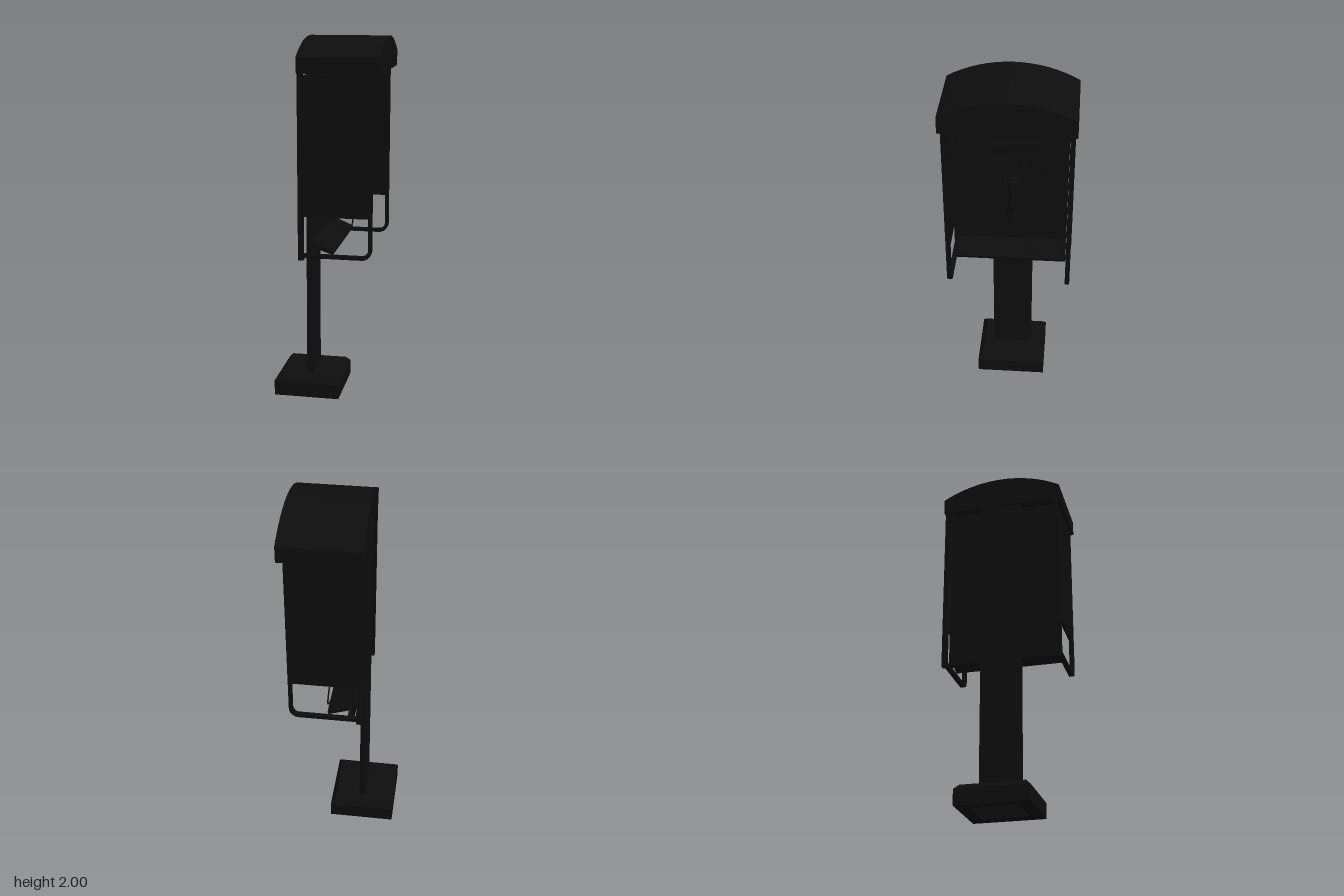
import * as THREE from 'three';

export function createModel() {
  const model = new THREE.Group();
  const mat = new THREE.MeshStandardMaterial({ color: 0x0d0d0d });

  const add = (name, geo, parent = model) => {
    const mesh = new THREE.Mesh(geo, mat);
    mesh.name = name;
    parent.add(mesh);
    return mesh;
  };
  // Box given by its lower and upper limits on each axis
  const box = (name, x0, x1, y0, y1, z0, z1, parent) => {
    const geo = new THREE.BoxGeometry(x1 - x0, y1 - y0, z1 - z0);
    geo.translate((x0 + x1) / 2, (y0 + y1) / 2, (z0 + z1) / 2);
    return add(name, geo, parent);
  };
  const extrude = (shape, depth, z = 0) =>
    new THREE.ExtrudeGeometry(shape, { depth, bevelEnabled: false, curveSegments: 10 }).translate(0, 0, z);
  const rect = (w, h, Type = THREE.Shape) => new Type([
    new THREE.Vector2(-w / 2, -h / 2), new THREE.Vector2(w / 2, -h / 2),
    new THREE.Vector2(w / 2, h / 2), new THREE.Vector2(-w / 2, h / 2)]);

  // Base: hollow underneath, chamfered on top
  const base = new THREE.Group();
  base.name = 'base';
  base.position.x = -0.118;
  model.add(base);
  const skirt = rect(0.366, 0.394);
  skirt.holes.push(rect(0.22, 0.25, THREE.Path));
  add('baseSkirt', extrude(skirt, 0.085).rotateX(-Math.PI / 2), base);
  const cap = new THREE.CylinderGeometry(0.87 * Math.SQRT1_2, Math.SQRT1_2, 0.027, 4, 1);
  cap.rotateY(Math.PI / 4).scale(0.366, 1, 0.394).translate(0, 0.0975, 0);
  const flatCap = cap.toNonIndexed();
  flatCap.computeVertexNormals();
  add('baseCap', flatCap, base);

  // Post and the brackets carrying the back panel
  box('post', -0.13, -0.098, 0.1, 1.808, -0.113, 0.113);
  for (const y of [1.15, 1.4, 1.7]) box('bracket', -0.1, -0.085, y, y + 0.04, -0.09, 0.09);

  // Back panel with a folded lower edge
  box('backPanel', -0.087, -0.07, 0.853, 1.81, -0.305, 0.303);
  box('backPanelLip', -0.087, -0.05, 0.853, 0.865, -0.305, 0.303);

  // Sides: upright, rounded rail, panel
  const rail = new THREE.Shape();
  rail.moveTo(-0.11, 0.85);
  rail.lineTo(0.212, 0.85);
  rail.absarc(0.212, 0.905, 0.055, -Math.PI / 2, 0, false);
  rail.lineTo(0.267, 1.84);
  rail.lineTo(0.247, 1.84);
  rail.lineTo(0.247, 0.905);
  rail.absarc(0.212, 0.905, 0.035, 0, -Math.PI / 2, true);
  rail.lineTo(-0.11, 0.87);
  for (const s of [-1, 1]) {
    const side = new THREE.Group();
    side.name = s > 0 ? 'leftSide' : 'rightSide';
    model.add(side);
    const zs = (a, b) => (s > 0 ? [a, b] : [-b, -a]);
    box('upright', -0.128, -0.1, 0.835, 1.84, ...zs(0.307, 0.335), side);
    add('sideRail', extrude(rail, 0.025, s * 0.32 - 0.0125), side);
    box('sidePanel', -0.105, 0.25, 1.072, 1.813, ...zs(0.313, 0.327), side);
    box('noticeFrame', -0.03, 0.19, 1.22, 1.62, ...zs(0.309, 0.314), side);
    box('noticeSheet', -0.015, 0.175, 1.235, 1.605, ...zs(0.307, 0.31), side);
  }

  // Roof: arched shell between two gable ends, open below
  const arch = (half, rise, eave, y0) => {
    const r = (half * half + rise * rise) / (2 * rise), pts = [new THREE.Vector2(-half, y0), new THREE.Vector2(half, y0)];
    const a = Math.asin(half / r);
    for (let i = 0; i <= 16; i++) {
      const t = a - (2 * a * i) / 16;
      pts.push(new THREE.Vector2(r * Math.sin(t), eave + rise - r + r * Math.cos(t)));
    }
    return pts;
  };
  const outer = arch(0.345, 0.092, 1.908, 1.82);
  const inner = arch(0.328, 0.085, 1.895, 1.82);
  const shell = new THREE.Shape([...outer.slice(1), outer[0], inner[0], ...inner.slice(2).reverse(), inner[1]]);
  const roof = new THREE.Group();
  roof.name = 'roof';
  roof.rotation.y = Math.PI / 2;
  model.add(roof);
  add('roofShell', extrude(shell, 0.397, -0.112), roof);
  add('roofBackGable', extrude(new THREE.Shape(outer), 0.018, -0.129), roof);
  add('roofFrontGable', extrude(new THREE.Shape(outer), 0.018, 0.283), roof);

  // Sloping shelf across the bottom of the back panel
  const slope = new THREE.Shape([[-0.06, 0.905], [0.055, 0.866], [0.06, 0.882], [-0.06, 0.935]]
    .map(p => new THREE.Vector2(...p)));
  add('shelf', extrude(slope, 0.61, -0.305));
  for (const z of [-0.2, 0.2]) box('shelfArm', -0.072, -0.045, 0.91, 0.925, z - 0.02, z + 0.02);

  // Telephone: plate, face, display, buttons and cord jack
  const phone = new THREE.Group();
  phone.name = 'telephone';
  model.add(phone);
  box('phonePlate', -0.072, -0.055, 1.067, 1.56, -0.148, 0.148, phone);
  box('phoneFace', -0.056, -0.047, 1.085, 1.542, -0.13, 0.13, phone);
  box('displayFrame', -0.048, -0.04, 1.42, 1.468, 0.05, 0.125, phone);
  box('displayScreen', -0.041, -0.038, 1.43, 1.458, 0.06, 0.115, phone);
  box('coinSlot', -0.048, -0.04, 1.42, 1.468, 0.022, 0.036, phone);
  const jack = new THREE.CylinderGeometry(0.018, 0.02, 0.02, 16);
  add('cordJack', jack.rotateZ(-Math.PI / 2).translate(-0.04, 1.443, -0.06), phone);

  // Handset: curved grip with an earpiece and a mouthpiece, on a cradle
  const grip = new THREE.CatmullRomCurve3([1.105, 1.16, 1.225, 1.29, 1.345].map((y, i) =>
    new THREE.Vector3([-0.022, -0.006, 0, -0.006, -0.022][i], y, 0)));
  add('handsetGrip', new THREE.TubeGeometry(grip, 16, 0.016, 10), phone);
  for (const y of [1.12, 1.332]) {
    const end = new THREE.CylinderGeometry(0.02, 0.029, 0.03, 16).rotateZ(-Math.PI / 2);
    add('handsetEnd', end.translate(-0.024, y, 0), phone);
    const knob = new THREE.SphereGeometry(0.026, 14, 10).scale(0.6, 1, 1);
    add('handsetKnob', knob.translate(-0.012, y, 0), phone);
  }
  for (const z of [-0.035, 0.035]) box('cradleProng', -0.048, -0.018, 1.3, 1.33, z - 0.006, z + 0.006, phone);

  // Cord hanging from the jack down to the shelf and back to the handset
  const cord = new THREE.CatmullRomCurve3([
    [-0.035, 1.443, -0.06], [-0.01, 1.44, -0.13], [0.015, 1.425, -0.195], [0.025, 1.36, -0.218],
    [0.03, 1.25, -0.215], [0.045, 1.1, -0.25], [0.058, 0.97, -0.287], [0.062, 0.91, -0.27],
    [0.055, 0.885, -0.2], [0.03, 0.905, -0.12], [-0.01, 0.965, -0.06], [-0.04, 1.05, -0.015],
    [-0.024, 1.1, 0]].map(p => new THREE.Vector3(...p)));
  add('cord', new THREE.TubeGeometry(cord, 90, 0.004, 6), phone);

  return model;
}
